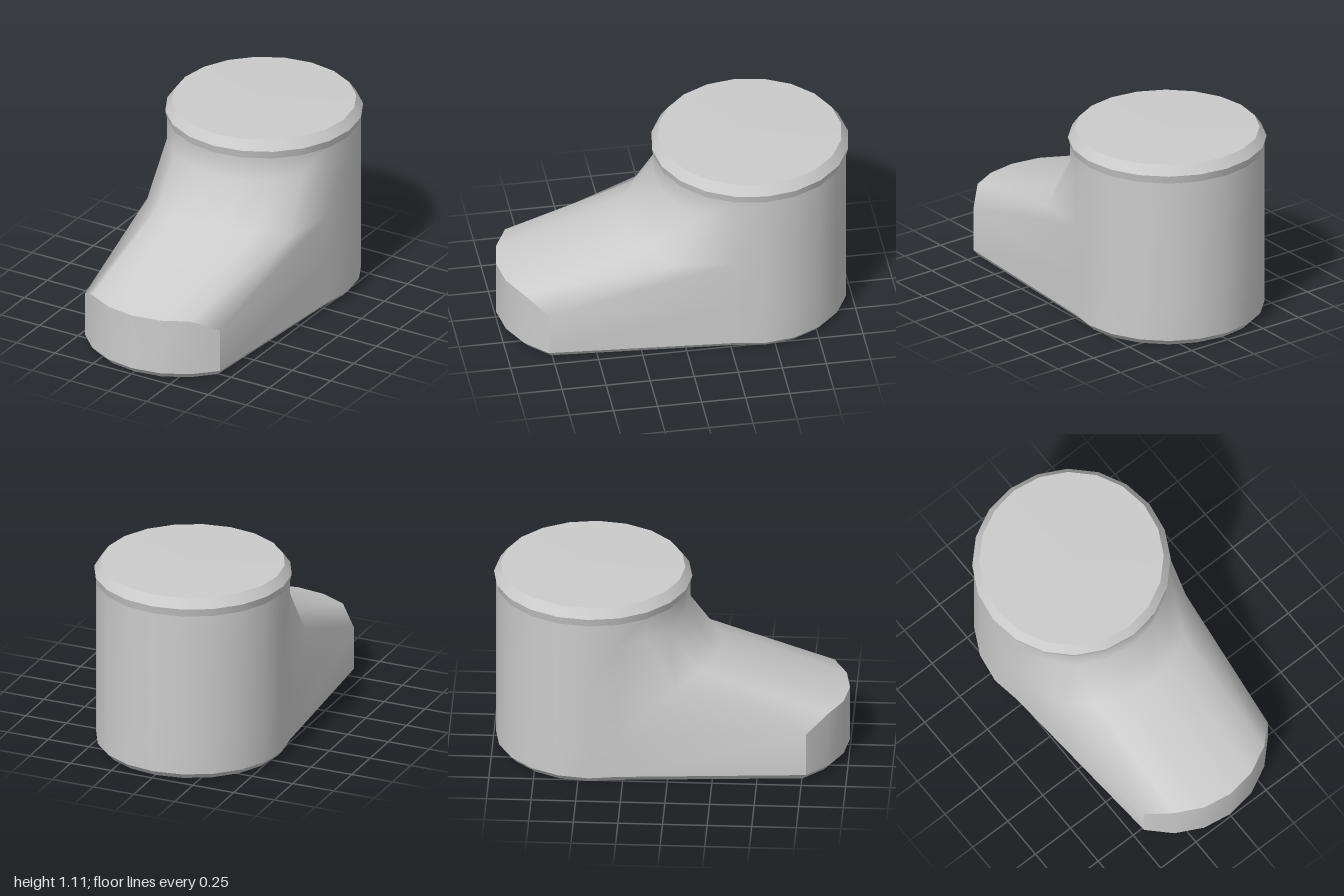
import * as THREE from 'three';

const SIDES = 20, R = 0.545, ZC = -0.442;
const material = new THREE.MeshStandardMaterial({ color: 0xcccccc });

// Column c runs round the ankle from the front; columns 0-3 either side are pulled out into the foot.
// Rows: 0 sole edge, 1 toe top, 2 instep, 3 ankle crease, 4 collar.
const pull = [0.895, 0.895, 0.175, 0, 0];
const heights = {
  back: [0.035, 0.29, 0.58, 0.87, 1.0],
  foot: [
    [0.035, 0.365, 0.62, 0.855, 1.0],
    [0.035, 0.365, 0.62, 0.855, 1.0],
    [0.035, 0.365, 0.61, 0.86, 1.0],
    [0.035, 0.29, 0.57, 0.88, 1.0],
  ],
};

function point(c, row, inset = 0) {
  const i = Math.min(c % SIDES, SIDES - (c % SIDES)); // columns away from the front
  const a = (c / SIDES) * Math.PI * 2;
  const isFoot = i <= 3;
  const r = R - inset;
  let x = r * Math.sin(a);
  const z = ZC + r * Math.cos(a) + (isFoot ? pull[row] : 0);
  if (i === 3 && row === 2) x *= 1.055;
  const y = inset ? 0 : (isFoot ? heights.foot[i] : heights.back)[row];
  return [x, y, z];
}

const onToe = (c) => c < 3 || c >= SIDES - 3;

// Smooth mesh from the points and triangles given
function surface(name, positions, index) {
  const g = new THREE.BufferGeometry();
  g.setAttribute('position', new THREE.Float32BufferAttribute(positions.flat(), 3));
  g.setIndex(index);
  g.computeVertexNormals();
  const mesh = new THREE.Mesh(g, material);
  mesh.name = name;
  return mesh;
}

// Quads of the column/row grid for which keep(c, row) holds
function gridPart(name, rows, keep, at) {
  const positions = [], index = [];
  for (let r = 0; r < rows; r++) for (let c = 0; c < SIDES; c++) positions.push(at(c, r));
  for (let r = 0; r < rows - 1; r++) {
    for (let c = 0; c < SIDES; c++) {
      if (!keep(c, r)) continue;
      const n = (c + 1) % SIDES;
      const p = r * SIDES + c, q = r * SIDES + n;
      index.push(p, q, q + SIDES, p, q + SIDES, p + SIDES);
    }
  }
  return surface(name, positions, index);
}

function band(name, profile) {
  const points = profile.map(([r, y]) => new THREE.Vector2(r, y));
  const mesh = new THREE.Mesh(new THREE.LatheGeometry(points, SIDES), material);
  mesh.position.z = ZC;
  mesh.name = name;
  return mesh;
}

export function createModel() {
  const group = new THREE.Group();
  group.name = 'boot';

  // Ankle and foot, with the upright toe wall kept apart for its sharp edge
  group.add(gridPart('upper', 5, (c, r) => !(r === 0 && onToe(c)), point));
  group.add(gridPart('toeWall', 2, onToe, point));

  // Bevelled sole
  group.add(gridPart('soleBevel', 2, () => true, (c, r) => (r ? point(c, 0) : point(c, 0, 0.032))));
  const base = [[0, 0, 0]], fan = [];
  for (let c = 0; c < SIDES; c++) {
    base.push(point(c, 0, 0.032));
    fan.push(0, 1 + ((c + 1) % SIDES), 1 + c);
  }
  group.add(surface('soleBottom', base, fan));

  // Collar and slightly domed cap
  group.add(band('collarFlare', [[R, 1.0], [0.556, 1.047]]));
  group.add(band('collarBevel', [[0.556, 1.047], [0.517, 1.102]]));
  group.add(band('cap', [[0.517, 1.102], [0.44, 1.103], [0.2, 1.107], [0, 1.11]]));
  return group;
}
